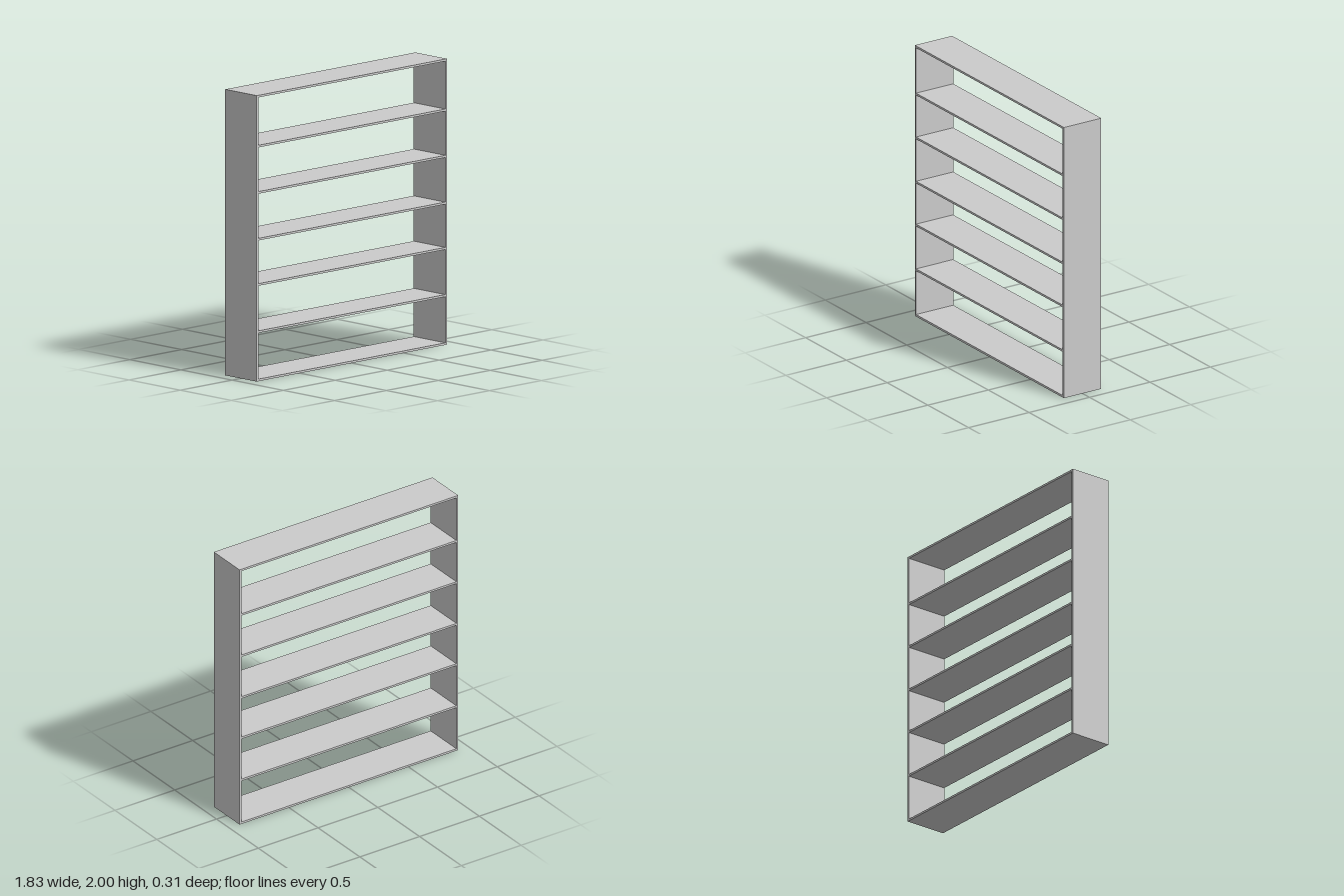
import * as THREE from 'three';

const WIDTH = 1.83, HEIGHT = 2, DEPTH = 0.308, BOARD = 0.015;

export function createModel() {
  const group = new THREE.Group();
  group.name = 'shelfUnit';
  const material = new THREE.MeshStandardMaterial({ color: 0xcccccc, flatShading: true });

  const addBoard = (name, w, h, x, y) => {
    const mesh = new THREE.Mesh(new THREE.BoxGeometry(w, h, DEPTH), material);
    mesh.name = name;
    mesh.position.set(x, y, 0);
    group.add(mesh);
  };

  // Upright side panels
  for (const side of [-1, 1]) {
    addBoard(side > 0 ? 'leftPanel' : 'rightPanel', BOARD, HEIGHT, side * (WIDTH - BOARD) / 2, HEIGHT / 2);
  }

  // Top and bottom boards and the shelves fit between the sides
  const inner = WIDTH - 2 * BOARD;
  addBoard('bottomBoard', inner, BOARD, 0, BOARD / 2);
  addBoard('topBoard', inner, BOARD, 0, HEIGHT - BOARD / 2);
  [0.345, 0.675, 0.992, 1.319, 1.643].forEach((y, i) => addBoard(`shelf${i + 1}`, inner, BOARD, 0, y));

  return group;
}
